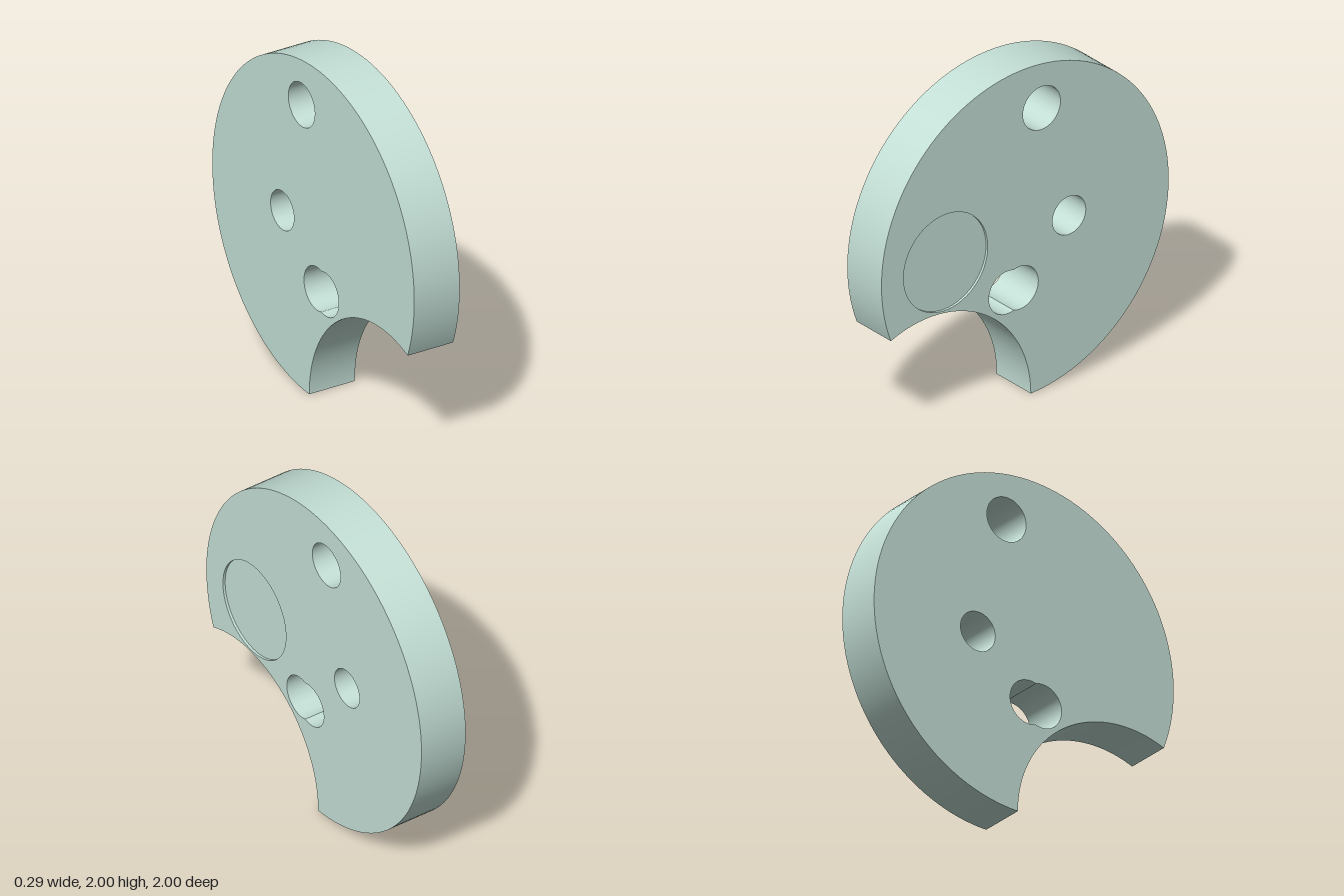
import * as THREE from 'three';
import { mergeGeometries } from 'three/addons/utils/BufferGeometryUtils.js';

const H = 0.147;           // half thickness
const RECESS = 0.015;      // depth of the round recess
const TAU = Math.PI * 2;

// An arc is sampled once and shared by the flat faces and the walls.
// Counter-clockwise arcs bound the plate from outside, clockwise arcs cut into it.
function arc(cx, cy, r, a0, a1) {
  const n = Math.max(8, Math.ceil(Math.abs(a1 - a0) / TAU * 128));
  const sign = a1 > a0 ? 1 : -1;
  const pts = [], normals = [];
  for (let i = 0; i <= n; i++) {
    const a = a0 + (a1 - a0) * i / n, c = Math.cos(a), s = Math.sin(a);
    pts.push(new THREE.Vector2(cx + r * c, cy + r * s));
    normals.push(new THREE.Vector2(sign * c, sign * s));
  }
  return { pts, normals };
}

const hole = (cx, cy, r) => [arc(cx, cy, r, 0, -TAU)];
const loop = arcs => arcs.flatMap(a => a.pts.slice(0, -1));

// Smooth wall along an arc, from depth z0 up to z1
function wall({ pts, normals }, z0, z1) {
  const pos = [], nor = [], uv = [], index = [];
  pts.forEach((p, i) => {
    pos.push(p.x, p.y, z0, p.x, p.y, z1);
    nor.push(normals[i].x, normals[i].y, 0, normals[i].x, normals[i].y, 0);
    uv.push(i, 0, i, 1);
    if (i) {
      const b = 2 * i, a = b - 2;
      index.push(a, b, b + 1, a, b + 1, a + 1);
    }
  });
  const g = new THREE.BufferGeometry();
  g.setAttribute('position', new THREE.Float32BufferAttribute(pos, 3));
  g.setAttribute('normal', new THREE.Float32BufferAttribute(nor, 3));
  g.setAttribute('uv', new THREE.Float32BufferAttribute(uv, 2));
  g.setIndex(index);
  return g;
}

// Flat face at depth z, facing forward or flipped to face backward
function face(outline, holes, z, flip = false) {
  const shape = new THREE.Shape(loop(outline));
  shape.holes = holes.map(h => new THREE.Path(loop(h)));
  const g = new THREE.ShapeGeometry(shape);
  g.translate(0, 0, z);
  if (flip) {
    g.scale(1, 1, 1);
    g.index.array.reverse();
    const n = g.attributes.normal;
    for (let i = 0; i < n.count; i++) n.setZ(i, -1);
  }
  return g;
}

export function createModel() {
  const group = new THREE.Group();
  group.name = 'discPlate';
  const material = new THREE.MeshStandardMaterial({ color: 0xc4e0d6 });

  // Round outline with a circular bite: meeting angles of the two circles
  const bx = -0.66, br = 0.7, d = Math.hypot(bx, 1);
  const toBite = Math.atan2(-1, bx), toDisc = Math.atan2(1, -bx);
  const alpha = Math.acos((1 + d * d - br * br) / (2 * d));
  const beta = Math.acos((d * d + br * br - 1) / (2 * d * br));
  const outline = [
    arc(0, 1, 1, toBite + alpha, toBite - alpha + TAU),
    arc(bx, 0, br, toDisc + beta, toDisc - beta),
  ];

  // Double hole made of two overlapping circles
  const sr = 0.13, half = 0.042, sx = -0.08, sy = 0.673;
  const g = Math.acos(half / sr);
  const doubleHole = [
    arc(sx + half, sy, sr, Math.PI - g, g - Math.PI),
    arc(sx - half, sy, sr, -g, g - TAU),
  ];
  const holes = [hole(0.116, 1.723, 0.131), hole(0.307, 1.003, 0.116), doubleHole];
  const recess = hole(-0.553, 1.0, 0.293);

  const add = (name, parts) => {
    const geometry = mergeGeometries(parts);
    geometry.rotateY(Math.PI / 2);
    const mesh = new THREE.Mesh(geometry, material);
    mesh.name = name;
    group.add(mesh);
  };

  // Plate with rim, bite and through holes
  add('plate', [
    face(outline, [...holes, recess], H),
    face(outline, holes, -H, true),
    ...[outline, ...holes].flat().map(a => wall(a, -H, H)),
  ]);

  // Shallow round recess on one side
  const floor = [arc(-0.553, 1.0, 0.293, 0, TAU)];
  add('recess', [face(floor, [], H - RECESS), wall(recess[0], H - RECESS, H)]);

  return group;
}
